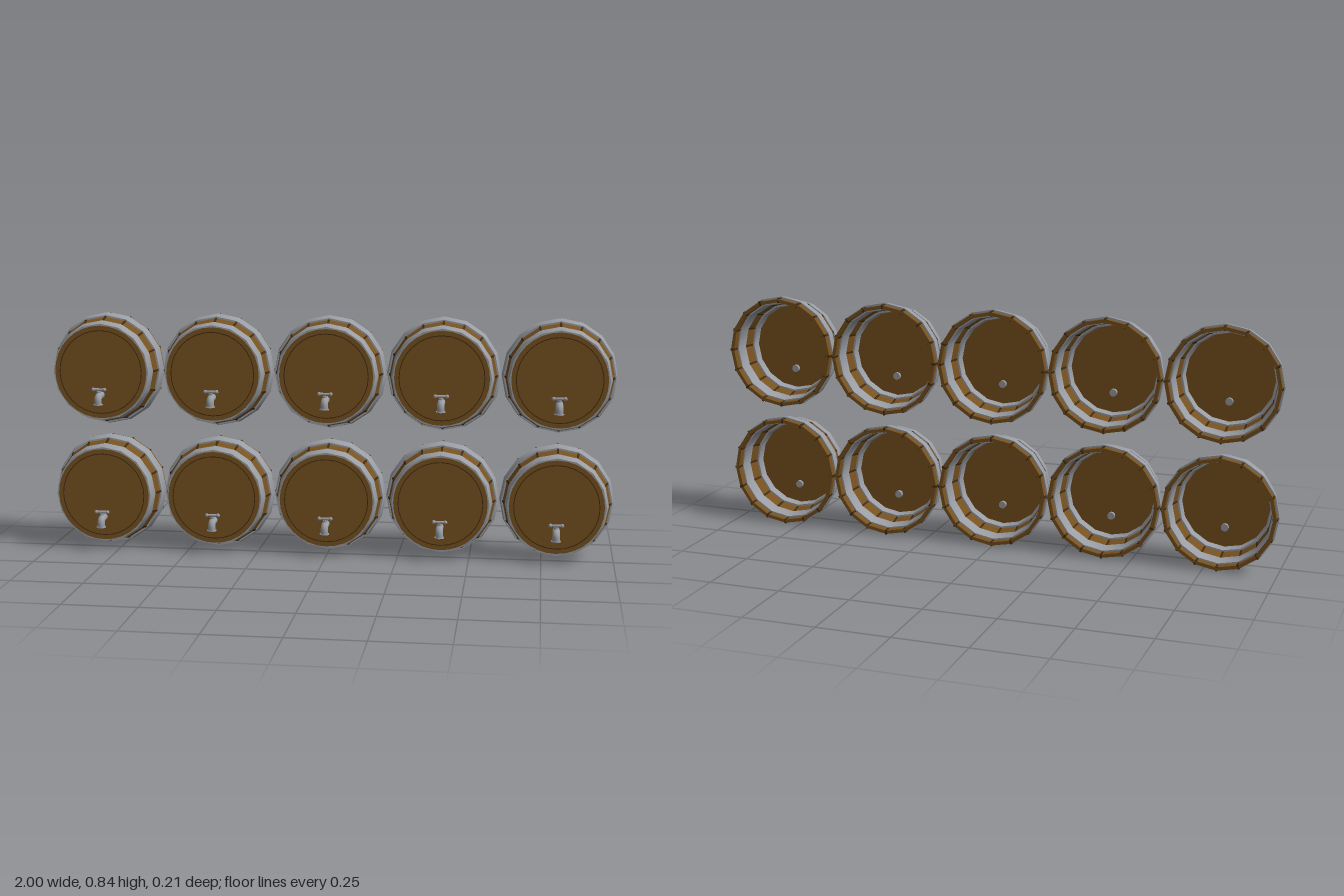
import * as THREE from 'three';
import { mergeGeometries, toCreasedNormals } from 'three/addons/utils/BufferGeometryUtils.js';

const SIDES = 16;
// outer stave radius along the barrel axis: [radius, z]
const PROFILE = [[0.195, -0.104], [0.194, -0.08], [0.187, -0.038], [0.176, 0], [0.166, 0.04]];
const V = (x, y, z) => new THREE.Vector3(x, y, z);

// closed profile of [radius, z] points turned around the z axis
function turn(points, sides, crease) {
  const pts = [...points, points[0]].map(([r, z]) => new THREE.Vector2(r, z));
  const geo = new THREE.LatheGeometry(pts, sides);
  geo.rotateX(Math.PI / 2);
  return toCreasedNormals(geo, crease);
}

// wall with an outside and an inside offset from a line of [radius, z] points
function wall(line, out, inn) {
  return [
    ...line.map(([r, z]) => [r + out, z]),
    ...line.slice().reverse().map(([r, z]) => [r - inn, z]),
  ];
}

function seamGeometry() {
  const shape = new THREE.Shape(wall(PROFILE, 0.002, 0.014).map(([r, z]) => new THREE.Vector2(r, z)));
  const parts = [];
  for (let i = 0; i < SIDES; i++) {
    const g = new THREE.ExtrudeGeometry(shape, { depth: 0.007, bevelEnabled: false });
    g.translate(0, 0, -0.0035);
    g.rotateX(Math.PI / 2);
    g.rotateZ((i / SIDES) * Math.PI * 2);
    parts.push(g);
  }
  return mergeGeometries(parts);
}

export function createModel() {
  const wood = new THREE.MeshStandardMaterial({ color: 0x78521f });
  wood.name = 'wood';
  const darkWood = new THREE.MeshStandardMaterial({ color: 0x402a10 });
  darkWood.name = 'darkWood';
  const steel = new THREE.MeshStandardMaterial({ color: 0x9a9da3 });
  steel.name = 'steel';

  const parts = [];
  const add = (name, geo, mat) => parts.push({ name, geo, mat });

  // open-backed barrel body with raised seams
  add('staves', turn(wall(PROFILE, 0, 0.012), SIDES, 0.3), wood);
  add('staveSeams', seamGeometry(), darkWood);

  // hoops
  add('rearHoop', turn(wall([[0.194, -0.08], [0.187, -0.038]], 0.006, 0.017), SIDES, 0.5), steel);
  add('frontHoop', turn(wall([[0.174, 0.002], [0.166, 0.041]], 0.005, 0.017), SIDES, 0.5), steel);

  // barrel head with a shallow recess
  add('headRim', turn([[0.164, 0.028], [0.164, 0.045], [0.148, 0.045], [0.148, 0.028]], 32, 0.5), wood);
  const groove = new THREE.RingGeometry(0.1455, 0.1485, 32);
  groove.translate(0, 0, 0.0452);
  add('headGroove', groove, darkWood);
  const head = new THREE.CylinderGeometry(0.148, 0.148, 0.016, 32);
  head.rotateX(Math.PI / 2);
  head.translate(0, 0, 0.036);
  add('head', head, wood);

  // tap: bent pipe, lip, stem and cross handle
  const ty = -0.081;
  const bend = new THREE.CurvePath();
  bend.add(new THREE.LineCurve3(V(0, ty, 0.016), V(0, ty, 0.066)));
  bend.add(new THREE.QuadraticBezierCurve3(V(0, ty, 0.066), V(0, ty, 0.087), V(0, ty - 0.018, 0.087)));
  bend.add(new THREE.LineCurve3(V(0, ty - 0.018, 0.087), V(0, ty - 0.028, 0.087)));
  add('tapPipe', new THREE.TubeGeometry(bend, 24, 0.013, 12), steel);
  const stub = new THREE.CircleGeometry(0.013, 12);
  stub.rotateY(Math.PI);
  stub.translate(0, ty, 0.016);
  add('tapPipeEnd', stub, steel);
  const cyl = (r, h, y, z) => {
    const g = new THREE.CylinderGeometry(r, r, h, 12);
    g.translate(0, y, z);
    return g;
  };
  add('tapLip', cyl(0.017, 0.003, ty - 0.028, 0.087), steel);
  add('tapCollar', cyl(0.008, 0.005, ty + 0.014, 0.072), steel);
  add('tapStem', cyl(0.004, 0.014, ty + 0.017, 0.072), steel);
  const bar = new THREE.CylinderGeometry(0.005, 0.005, 0.044, 10);
  bar.rotateZ(Math.PI / 2);
  bar.translate(0, ty + 0.023, 0.072);
  add('tapHandle', bar, steel);
  for (const s of [-1, 1]) {
    const knob = new THREE.SphereGeometry(0.007, 10, 8);
    knob.translate(s * 0.02, ty + 0.023, 0.072);
    add(s > 0 ? 'leftHandleKnob' : 'rightHandleKnob', knob, steel);
  }

  // two rows of five barrels
  const model = new THREE.Group();
  model.name = 'barrelWall';
  for (const y of [0.2, 0.64]) {
    for (let i = -2; i <= 2; i++) {
      const barrel = new THREE.Group();
      barrel.name = 'barrel';
      for (const { name, geo, mat } of parts) {
        const mesh = new THREE.Mesh(geo, mat);
        mesh.name = name;
        barrel.add(mesh);
      }
      barrel.position.set(i * 0.4, y, 0);
      model.add(barrel);
    }
  }
  return model;
}
